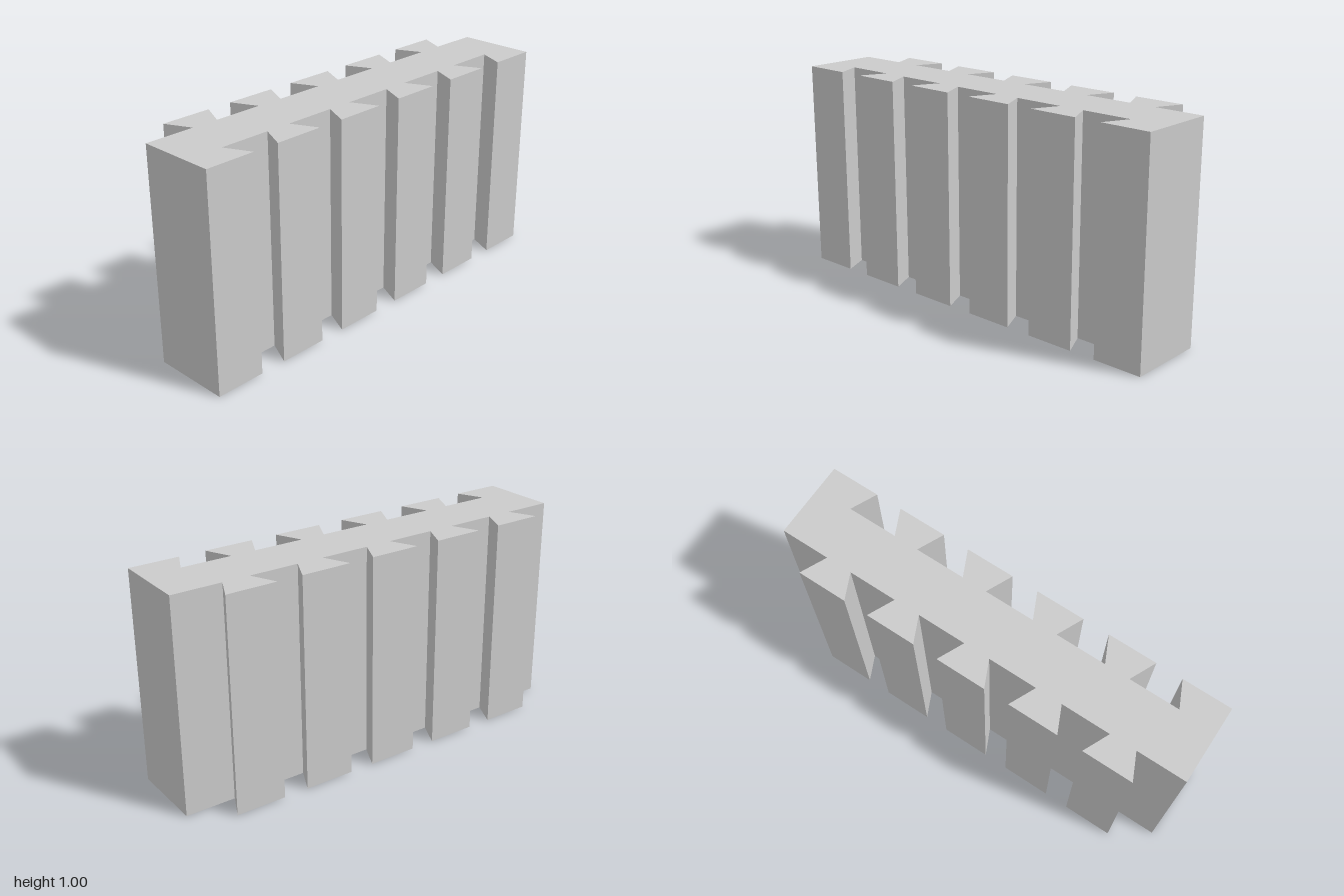
import * as THREE from 'three';

const HEIGHT = 1, HALF_LENGTH = 1;
const FACE = 0.243;   // outer front and back planes
const ROOT = 0.122;   // slot floor and tongue base
const NARROW = 0.062, WIDE = 0.118; // dovetail half widths
const PITCH = 0.353, COUNT = 5;

export function createModel() {
  const group = new THREE.Group();
  group.name = 'dovetailBlock';
  const centres = Array.from({ length: COUNT }, (_, i) => (i - (COUNT - 1) / 2) * PITCH);

  // Plan outline; shape y points to the back
  const plan = new THREE.Shape();
  plan.moveTo(-HALF_LENGTH, -FACE);

  // Front edge with dovetail slots
  for (const c of centres) {
    plan.lineTo(c - NARROW, -FACE);
    plan.lineTo(c - WIDE, -ROOT);
    plan.lineTo(c + WIDE, -ROOT);
    plan.lineTo(c + NARROW, -FACE);
  }
  plan.lineTo(HALF_LENGTH, -FACE);
  plan.lineTo(HALF_LENGTH, ROOT);

  // Back edge with matching dovetail tongues
  for (const c of [...centres].reverse()) {
    plan.lineTo(c + NARROW, ROOT);
    plan.lineTo(c + WIDE, FACE);
    plan.lineTo(c - WIDE, FACE);
    plan.lineTo(c - NARROW, ROOT);
  }
  plan.lineTo(-HALF_LENGTH, ROOT);
  plan.closePath();

  // Extrude upwards
  const geometry = new THREE.ExtrudeGeometry(plan, { depth: HEIGHT, bevelEnabled: false });
  geometry.rotateX(-Math.PI / 2);

  const block = new THREE.Mesh(
    geometry,
    new THREE.MeshStandardMaterial({ color: 0xcccccc, flatShading: true })
  );
  block.name = 'block';
  group.add(block);
  return group;
}
